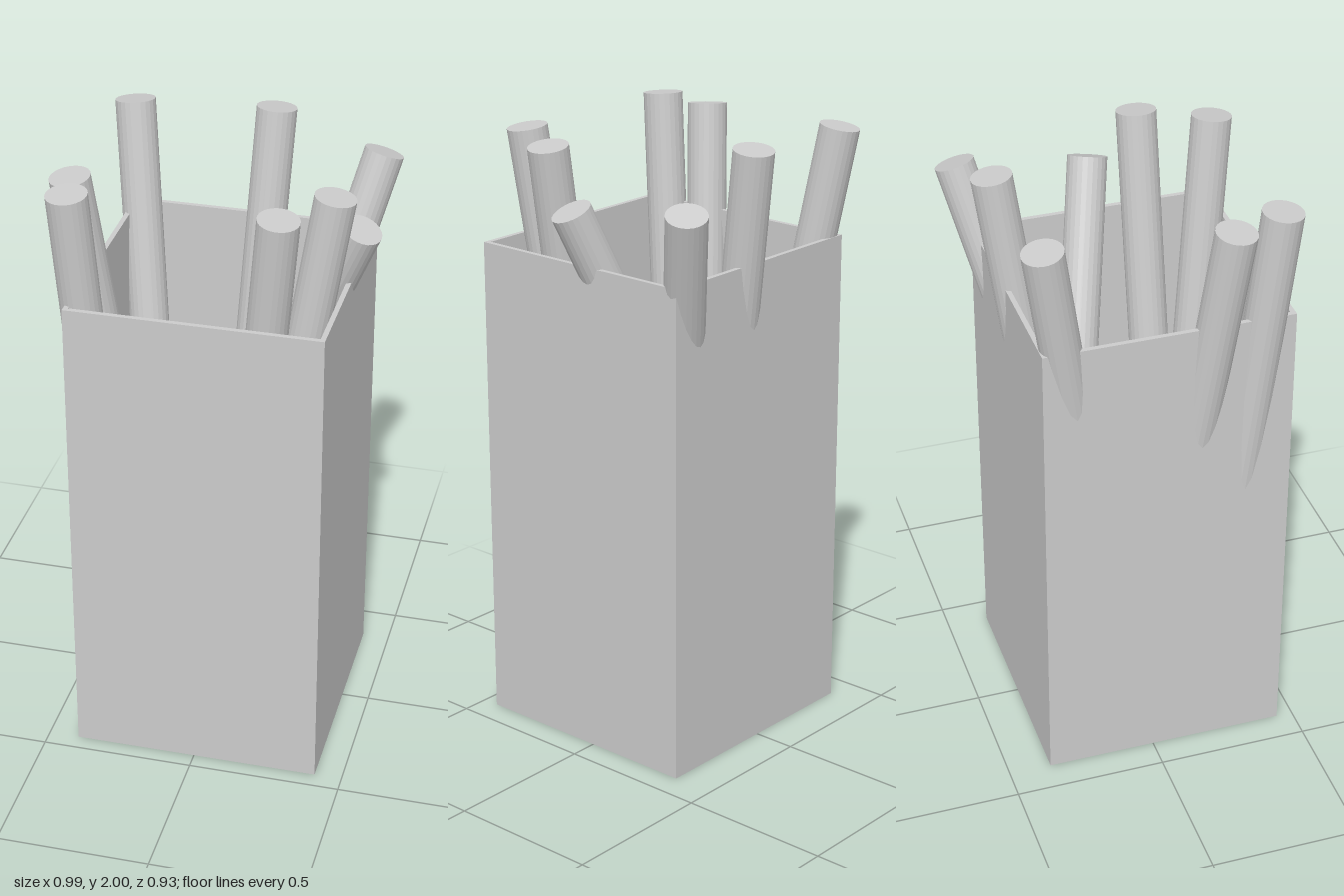
import * as THREE from 'three';

const material = new THREE.MeshStandardMaterial({ color: 0xcccccc });
const rodMaterial = new THREE.MeshStandardMaterial({ color: 0xcccccc, flatShading: true });

const X0 = -0.4, X1 = 0.41, Z0 = -0.36, Z1 = 0.445; // box footprint
const HEIGHT = 1.625, WALL = 0.016, RADIUS = 0.065;

function addBox(group, name, x0, x1, y0, y1, z0, z1) {
  const mesh = new THREE.Mesh(new THREE.BoxGeometry(x1 - x0, y1 - y0, z1 - z0), material);
  mesh.position.set((x0 + x1) / 2, (y0 + y1) / 2, (z0 + z1) / 2);
  mesh.name = name;
  group.add(mesh);
}

// Straight rod between two points, with caps square to its axis
function rod(bottom, top) {
  const axis = top.clone().sub(bottom);
  const mesh = new THREE.Mesh(new THREE.CylinderGeometry(RADIUS, RADIUS, axis.length(), 24), rodMaterial);
  mesh.position.copy(bottom).add(top).multiplyScalar(0.5);
  mesh.quaternion.setFromUnitVectors(new THREE.Vector3(0, 1, 0), axis.normalize());
  return mesh;
}

export function createModel() {
  const model = new THREE.Group();
  model.name = 'rodHolder';

  // Open square container with thin walls
  const container = new THREE.Group();
  container.name = 'container';
  addBox(container, 'floor', X0, X1, 0, WALL, Z0, Z1);
  addBox(container, 'backWall', X0, X1, WALL, HEIGHT, Z0, Z0 + WALL);
  addBox(container, 'frontWall', X0, X1, WALL, HEIGHT, Z1 - WALL, Z1);
  addBox(container, 'rightWall', X0, X0 + WALL, WALL, HEIGHT, Z0 + WALL, Z1 - WALL);
  addBox(container, 'leftWall', X1 - WALL, X1, WALL, HEIGHT, Z0 + WALL, Z1 - WALL);
  model.add(container);

  // Leaning rods: bottom x, bottom z, top x, top y, top z
  const rods = new THREE.Group();
  rods.name = 'rods';
  [
    [-0.21, -0.03, -0.39, 1.98, -0.35],
    [-0.03, -0.10, 0.07, 1.99, -0.375],
    [-0.08, 0.06, 0.415, 1.86, -0.405],
    [-0.30, -0.295, 0.435, 1.80, 0.04],
    [-0.19, 0.03, -0.43, 1.965, 0.23],
    [-0.28, 0.205, -0.39, 1.985, 0.39],
    [0.06, 0.20, 0.38, 1.97, 0.185],
    [0.055, 0.20, 0.255, 1.98, 0.395],
  ].forEach(([bx, bz, tx, ty, tz], i) => {
    // Lift the foot so the tilted cap rests on the floor
    const lift = 0.005 + RADIUS * Math.hypot(tx - bx, tz - bz) / ty;
    const mesh = rod(new THREE.Vector3(bx, lift, bz), new THREE.Vector3(tx, ty, tz));
    mesh.name = `rod${i + 1}`;
    rods.add(mesh);
  });
  model.add(rods);
  return model;
}
